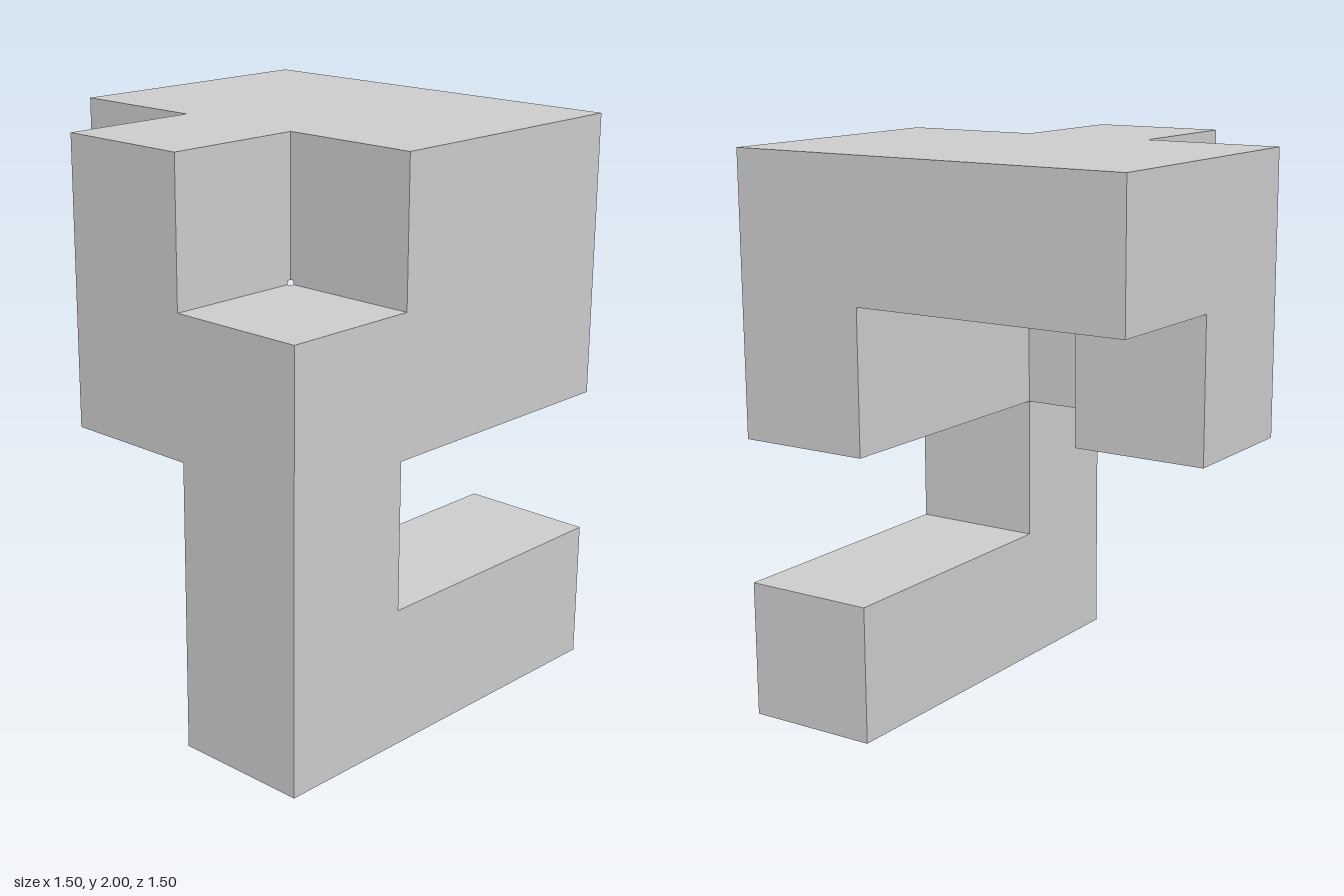
import * as THREE from 'three';

// Cubic cells of size S; every outer face is set in by G, so cells that
// only touch along an edge stay separated by a fine slit.
const G = 0.007;
const S = (2 + 2 * G) / 4;
const lo = (i) => (i - 1.5) * S + G; // start of column i in x or z
const hi = (i) => (i - 0.5) * S - G; // end of column i in x or z
const yLo = (j) => j * S;            // bottom of layer j
const yHi = (j) => (j + 1) * S - 2 * G; // top of layer j

const material = new THREE.MeshStandardMaterial({ color: 0xcccccc, flatShading: true });

// Straight extrusion of an outline from start to end along its normal
function prism(points, start, end) {
  const shape = new THREE.Shape(points.map(([a, b]) => new THREE.Vector2(a, b)));
  const geometry = new THREE.ExtrudeGeometry(shape, { depth: end - start, bevelEnabled: false });
  return geometry.translate(0, 0, start);
}

export function createModel() {
  const group = new THREE.Group();
  const add = (name, geometry) => {
    const mesh = new THREE.Mesh(geometry, material);
    mesh.name = name;
    group.add(mesh);
  };

  // Top plate with a front tab: outline in (x, z), extruded upwards
  const plate = [
    [lo(0), lo(0)], [hi(2), lo(0)], [hi(2), hi(1)], [hi(1), hi(1)],
    [hi(1), hi(2)], [lo(1), hi(2)], [lo(1), hi(1)], [lo(0), hi(1)],
  ];
  add('topPlate', prism(plate.map(([x, z]) => [x, -z]), yLo(3), yHi(3)).rotateX(-Math.PI / 2));

  // C-shaped side with foot and post: outline in (z, y), extruded along x
  const side = [
    [lo(0), 0], [hi(2), 0], [hi(2), yHi(2)], [hi(1), yHi(2)], [hi(1), yLo(3)],
    [lo(0), yLo(3)], [lo(0), yLo(2)], [lo(2), yLo(2)], [lo(2), yHi(0)], [lo(0), yHi(0)],
  ];
  add('sideBracket', prism(side.map(([z, y]) => [-z, y]), lo(2), hi(2)).rotateY(Math.PI / 2));

  // Front block joining the tab to the side bracket: outline in (x, y)
  const front = [
    [lo(1), yLo(2)], [lo(2), yLo(2)], [lo(2), yHi(2)],
    [hi(1), yHi(2)], [hi(1), yLo(3)], [lo(1), yLo(3)],
  ];
  add('frontBlock', prism(front, lo(2), hi(2)));

  // Lug hanging from the other side of the plate
  const lug = [[lo(0), yLo(2)], [hi(0), yLo(2)], [hi(0), yLo(3)], [lo(0), yLo(3)]];
  add('hangingLug', prism(lug, lo(1), hi(1)));

  return group;
}
